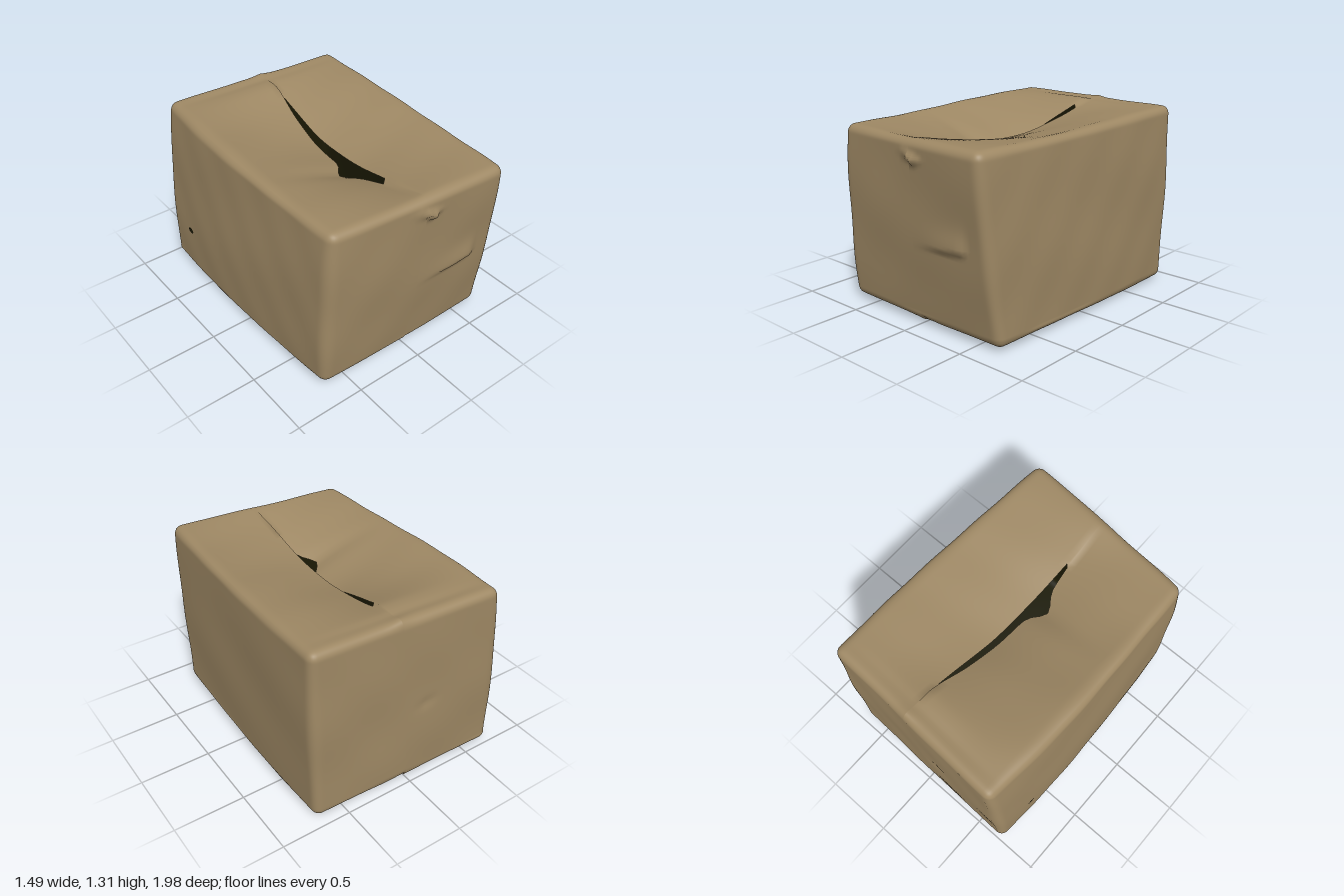
import * as THREE from 'three';
import { mergeVertices } from 'three/addons/utils/BufferGeometryUtils.js';

const { lerp, clamp, smoothstep } = THREE.MathUtils;
const gauss = (d, width) => Math.exp(-((d / width) ** 2));

// Box corners [x, y, z], ordered left-back, right-back, left-front, right-front
const BOTTOM = [[-0.705, 0.025, -0.98], [0.71, 0.012, -0.93], [-0.68, 0.035, 0.84], [0.69, 0.03, 0.84]];
const TOP = [[-0.635, 1.31, -0.99], [0.735, 1.31, -0.92], [-0.66, 1.26, 0.88], [0.65, 1.265, 0.985]];
const HALF = [0.71, 0.63, 0.93];
const RADIUS = 0.055;
const COLS = 45, ROWS = 80, DEPTH = 60;
const SEAM = Math.sin(Math.PI / 2 / COLS); // half width of the middle column

// Width of the gap between the two top flaps, with a torn notch
function gapWidth(w) {
  const slit = 0.04 * smoothstep(w, -0.76, -0.42) * (1 - smoothstep(w, 0.35, 0.68));
  return 0.004 + slit + 0.13 * gauss(w - 0.26, 0.09);
}
const seamRight = w => 0.045 + 0.032 * smoothstep(-w, 0.1, 0.65) + 0.02 * smoothstep(w, 0.65, 1);
// Short slit between the bottom flaps
const bottomGap = w => 0.004 + 0.009 * gauss(w, 0.18);

// How far a top flap sags along its length
const sag = (c, middle, reach) =>
  Math.pow(Math.max(0, Math.cos(clamp((c - middle) / reach, -1, 1) * Math.PI / 2)), 1.2);

// Gentle cardboard wrinkles
const wrinkle = (x, y, z) =>
  0.005 * Math.sin(5.1 * x + 3.3 * y + 1.2) * Math.sin(4.3 * z - 2.7 * y + 0.5) +
  0.003 * Math.sin(9.7 * y - 4.1 * x + 6.1 * z) * Math.sin(7.3 * x + 8.9 * z + 2);

// Maps a point of the unit cube surface to the crumpled box
function warp(u, v, w) {
  // Shift the middle column onto the flap seams
  const up = (v + 1) / 2;
  const right = lerp(bottomGap(w) / 2, seamRight(w), up);
  const left = lerp(-bottomGap(w) / 2, seamRight(w) - gapWidth(w), up);
  const f = (Math.abs(u) - SEAM) / (1 - SEAM);
  const side = Math.sign(u);
  const unit = [side > 0 ? lerp(right, 1, f) : lerp(left, -1, f), v, w];

  // Round the edges
  const flat = unit.map((a, i) => a * HALF[i]);
  const core = flat.map((a, i) => clamp(a, RADIUS - HALF[i], HALF[i] - RADIUS));
  const n = new THREE.Vector3(...flat.map((a, i) => a - core[i])).normalize();
  const [a, b, c] = core.map((k, i) => (k + n.getComponent(i) * RADIUS) / HALF[i]);

  // Blend between the eight corners
  const s = (a + 1) / 2, h = (b + 1) / 2, t = (c + 1) / 2;
  const level = q => [0, 1, 2].map(i => lerp(lerp(q[0][i], q[1][i], s), lerp(q[2][i], q[3][i], s), t));
  const lo = level(BOTTOM), hi = level(TOP);
  const p = new THREE.Vector3(...lo.map((k, i) => lerp(k, hi[i], h)));

  // Bulging walls and wrinkles
  const belly = 1 - b * b, girth = 1 - c * c;
  p.x += n.x * (n.x < 0 ? 0.03 * belly * (1.1 - 0.5 * h) + 0.035 * girth : 0.01 * belly + 0.025 * girth);
  p.z += n.z * (n.z > 0 ? 0.022 * belly + 0.014 * (1 - a * a) : 0.01 * belly);
  const { x, y, z } = p;
  p.addScaledVector(n, wrinkle(x, y, z) * (n.y < 0 ? 0.4 : 1));

  if (n.y > 0) {
    // Sagging flaps, the left one deeper and further forward
    const across = Math.pow(clamp(1 - f, 0, 1), 1.15);
    p.y -= n.y * across * (side > 0 ? 0.15 * sag(c, 0.03, 0.92) : 0.205 * sag(c, 0.1, 0.86));
    // Creased lip along the back end
    p.y -= n.y * 0.008 * gauss(c + 0.88, 0.035) * (1 - a * a);
  } else if (n.y < 0) {
    // Bottom flaps: slight droop and an uneven seam
    p.y += n.y * 0.012 * gauss(a, 0.3) - n.y * (side > 0 ? 0.02 : 0) * gauss(a, 0.15);
  }

  if (n.z > 0) {
    // Ledge-shaped crease on the front
    const span = smoothstep(x, 0.0, 0.44) * (1 - smoothstep(x, 0.46, 0.51));
    const dy = y - 0.6 - 0.08 * (x - 0.25);
    p.z += n.z * 0.028 * span * (dy > 0 ? gauss(dy, 0.11) : gauss(dy, 0.015));
    // Slanting torn fold below the top edge
    const along = (x - 0.02) * 0.88 - (y - 1.165) * 0.47;
    const down = (x - 0.02) * 0.47 + (y - 1.165) * 0.88;
    p.z += n.z * 0.04 * smoothstep(along, -0.1, 0.08) * (1 - smoothstep(along, 0.08, 0.12)) * gauss(down, 0.026);
  } else if (n.z < 0) {
    // Shallow dent in the back
    p.z += 0.01 * gauss(x + 0.12, 0.05) * gauss(y - 0.62, 0.04);
  }
  // Crumpled lumps at the ends of the seams
  p.y += 0.016 * Math.max(0, n.y) * gauss(x - 0.1, 0.05) * gauss(c + 1, 0.06);
  p.y -= 0.01 * Math.max(0, -n.y) * gauss(x - 0.05, 0.04) * gauss(c - 1, 0.08);
  p.y = Math.max(0, p.y);
  return p;
}

// Crumpled shell with the open slits left out
function shellGeometry() {
  let geo = new THREE.BoxGeometry(2, 2, 2, COLS, ROWS, DEPTH);
  geo.deleteAttribute('uv');
  geo.deleteAttribute('normal');
  geo = mergeVertices(geo, 1e-4);
  const pos = geo.attributes.position;
  const cube = [];
  for (let i = 0; i < pos.count; i++) {
    // Rows and columns gather near the edges
    const q = [pos.getX(i), pos.getY(i), pos.getZ(i)].map(k => Math.sin(k * Math.PI / 2));
    cube.push(q);
    const p = warp(...q);
    pos.setXYZ(i, p.x, p.y, p.z);
  }
  const idx = geo.index.array, kept = [];
  for (let i = 0; i < idx.length; i += 3) {
    const tri = [idx[i], idx[i + 1], idx[i + 2]];
    const q = tri.map(k => cube[k]);
    const w = (q[0][2] + q[1][2] + q[2][2]) / 3;
    const inSeam = sign => q.every(k => k[1] * sign > 0.999 && Math.abs(k[0]) < SEAM * 1.1);
    const open = (inSeam(1) && gapWidth(w) > 0.01) || (inSeam(-1) && bottomGap(w) > 0.01);
    if (!open) kept.push(...tri);
  }
  geo.setIndex(kept);
  geo.computeVertexNormals();
  return geo;
}

// Inner face of the shell: moved inward and turned inside out
function liningGeometry(shell) {
  const geo = shell.clone();
  const pos = geo.attributes.position, nor = geo.attributes.normal;
  for (let i = 0; i < pos.count; i++) {
    pos.setXYZ(i, pos.getX(i) - nor.getX(i) * 0.008, pos.getY(i) - nor.getY(i) * 0.008, pos.getZ(i) - nor.getZ(i) * 0.008);
  }
  geo.setIndex(Array.from(geo.index.array).reverse());
  geo.computeVertexNormals();
  return geo;
}

export function createModel() {
  const cardboard = new THREE.MeshStandardMaterial({ color: 0x9e8864 });
  cardboard.name = 'cardboard';
  const darkInside = new THREE.MeshStandardMaterial({ color: 0x1a1904 });
  darkInside.name = 'dark inside';

  const group = new THREE.Group();
  group.name = 'cardboardBox';
  const add = (name, geo, mat) => {
    const mesh = new THREE.Mesh(geo, mat);
    mesh.name = name;
    group.add(mesh);
    return mesh;
  };

  const shell = shellGeometry();
  add('boxShell', shell, cardboard);
  add('boxLining', liningGeometry(shell), darkInside);

  // Small puncture in the right wall
  const hole = add('puncture', new THREE.CircleGeometry(0.022, 10), darkInside);
  hole.position.copy(warp(-1, -0.43, -0.68)).x -= 0.006;
  hole.rotation.y = -Math.PI / 2;
  hole.scale.x = 1.4;

  return group;
}
